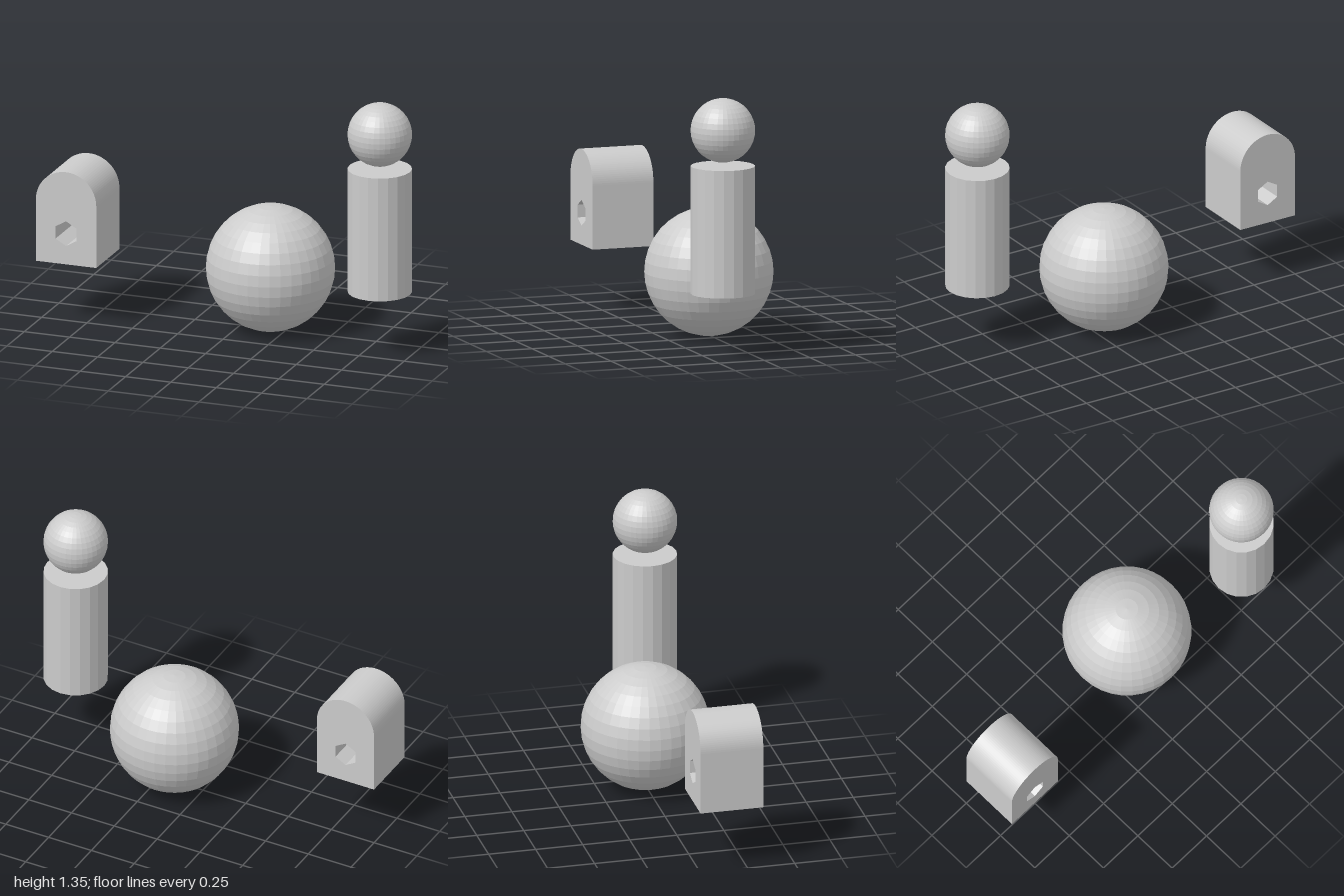
import * as THREE from 'three';

export function createModel() {
  const group = new THREE.Group();
  const material = new THREE.MeshStandardMaterial({ color: 0xcccccc, flatShading: true });
  const U = 1 / 3; // side of the square block
  const R = U / 2;

  function add(name, geometry, x, y, z) {
    const mesh = new THREE.Mesh(geometry, material);
    mesh.name = name;
    mesh.position.set(x, y, z);
    group.add(mesh);
  }

  // Large ball resting on the ground
  add('largeBall', new THREE.SphereGeometry(U, 36, 18), R, U, 0);

  // Upright column with a small ball floating just above it
  add('column', new THREE.CylinderGeometry(R, R, 2 * U, 20), 5 * R, 2 * U, R);
  add('smallBall', new THREE.SphereGeometry(R, 36, 18), 5 * R, 1.185, R);

  // Arched block pierced by a hexagonal hole
  const arch = new THREE.Shape();
  arch.moveTo(-R, 0);
  arch.lineTo(R, 0);
  arch.lineTo(R, U);
  arch.absarc(0, U, R, 0, Math.PI, false);
  arch.closePath();

  const hexagon = [];
  for (let i = 0; i < 6; i++) {
    const a = Math.PI / 2 - (i * Math.PI) / 3;
    hexagon.push(new THREE.Vector2(0.067 * Math.cos(a), R + 0.067 * Math.sin(a)));
  }
  arch.holes.push(new THREE.Path(hexagon));

  add('archedBlock', new THREE.ExtrudeGeometry(arch, {
    depth: U, bevelEnabled: false, curveSegments: 24,
  }), -5 * R, U, 0);

  return group;
}
